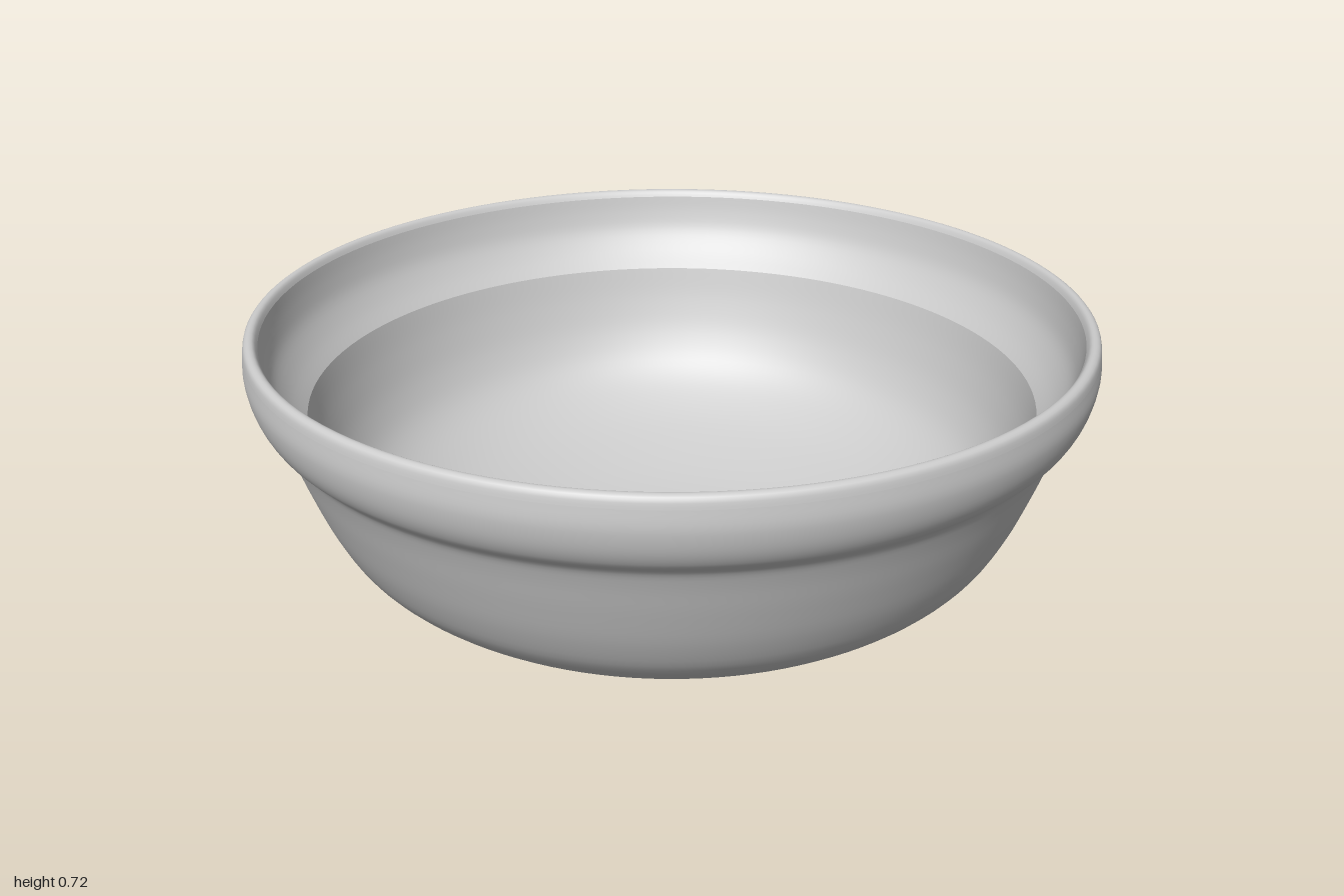
import * as THREE from 'three';

const material = new THREE.MeshStandardMaterial({ color: 0xcccccc, side: THREE.DoubleSide });

// Revolves a smooth curve through [radius, height] points.
function turned(name, profile, steps) {
  const curve = new THREE.SplineCurve(profile.map(([r, y]) => new THREE.Vector2(r, y)));
  const points = curve.getPoints(steps);
  points.forEach((p) => { p.x = Math.max(p.x, 0); p.y = Math.max(p.y, 0); });
  const mesh = new THREE.Mesh(new THREE.LatheGeometry(points, 128), material);
  mesh.name = name;
  return mesh;
}

export function createModel() {
  const bowl = new THREE.Group();
  bowl.name = 'bowl';

  // Outside: shallow rounded base, flaring wall and a bulging collar
  bowl.add(turned('outerWall', [
    [0, 0], [0.2, 0.003], [0.4, 0.03], [0.6, 0.09], [0.72, 0.147], [0.8, 0.215],
    [0.85, 0.3], [0.89, 0.4], [0.92, 0.485], [0.94, 0.53], [0.97, 0.56],
    [0.99, 0.6], [1, 0.65], [0.997, 0.695],
  ], 56));

  // Narrow rounded lip
  bowl.add(turned('lip', [
    [0.997, 0.695], [0.993, 0.714], [0.982, 0.722], [0.97, 0.719], [0.962, 0.705],
  ], 12));

  // Inside of the collar, sloping in to a crease
  bowl.add(turned('innerCollar', [
    [0.962, 0.705], [0.953, 0.66], [0.937, 0.61], [0.905, 0.56], [0.868, 0.518],
  ], 16));

  // Inner wall and shallow dished floor
  bowl.add(turned('innerBowl', [
    [0.868, 0.518], [0.845, 0.43], [0.81, 0.335], [0.76, 0.255], [0.68, 0.19],
    [0.56, 0.13], [0.38, 0.075], [0.19, 0.047], [0, 0.042],
  ], 40));

  return bowl;
}
